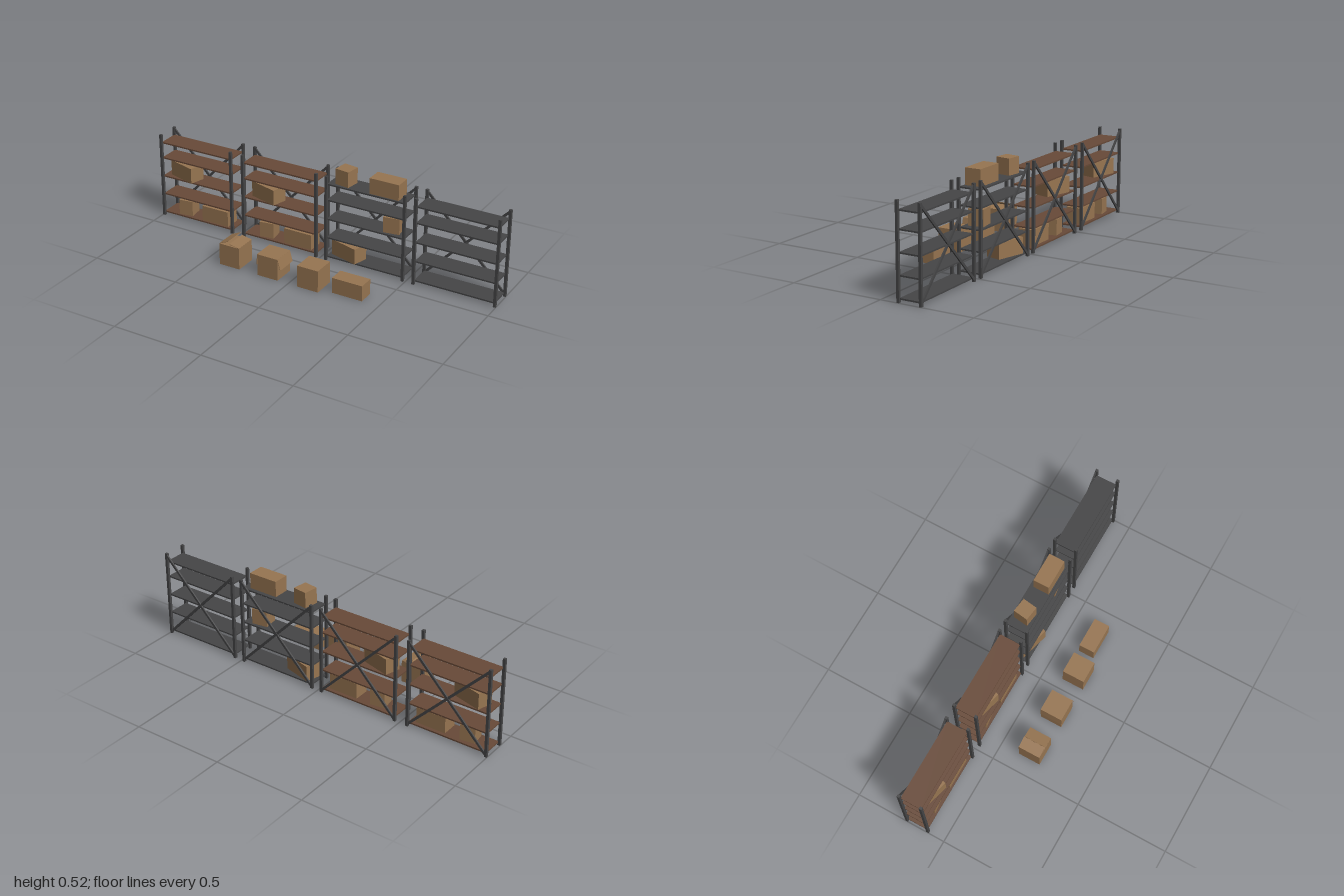
import * as THREE from 'three';

const metal = new THREE.MeshStandardMaterial({ color: 0x454546 });
metal.name = 'dark grey metal';
const wood = new THREE.MeshStandardMaterial({ color: 0x684a38 });
wood.name = 'brown shelf board';
const card = new THREE.MeshStandardMaterial({ color: 0x977551 });
card.name = 'cardboard';

const WIDTH = 0.462, HEIGHT = 0.48, POST = 0.0145;
const FRONT_Z = -0.0955, BACK_Z = -0.218, MID_Z = -0.157;
const SHELVES = [0.018, 0.127, 0.234, 0.3425, 0.432];

function box(parent, name, mat, size, pos, rotY = 0, rotZ = 0) {
  const mesh = new THREE.Mesh(new THREE.BoxGeometry(...size), mat);
  mesh.name = name;
  mesh.position.set(...pos);
  mesh.rotation.set(0, rotY, rotZ);
  parent.add(mesh);
  return mesh;
}

// Four posts, five shelves and a crossed brace at the back
function makeRack(x, shelfMaterial) {
  const rack = new THREE.Group();
  rack.name = 'rack';
  rack.position.x = x;
  const px = (WIDTH - POST) / 2;
  for (const s of [-1, 1]) {
    for (const z of [FRONT_Z, BACK_Z]) {
      box(rack, 'post', metal, [POST, HEIGHT, POST], [s * px, HEIGHT / 2, z]);
    }
    const run = px * 2, rise = HEIGHT - 0.018;
    box(rack, 'crossBrace', metal, [Math.hypot(run, rise), 0.013, 0.008],
      [0, HEIGHT / 2, BACK_Z - 0.001 * s - 0.0015], 0, s * Math.atan2(rise, run));
  }
  for (const y of SHELVES) {
    box(rack, 'shelf', shelfMaterial, [WIDTH - 0.02, 0.008, 0.115], [0, y, MID_Z]);
  }
  return rack;
}

// Cardboard boxes standing on a surface at height y
const carton = (parent, size, x, y, z, rotY = 0) =>
  box(parent, 'cardboardBox', card, size, [x, y + size[1] / 2, z], rotY);
const SMALL = [0.08, 0.086, 0.08];
const LONG = [0.165, 0.086, 0.087];

// Thin flap hinged at a top edge; dir is the way it extends in x
function flap(parent, x, y, z, dir, angle) {
  const hinge = new THREE.Group();
  hinge.name = 'boxFlap';
  hinge.position.set(x, y, z);
  hinge.rotation.z = dir * angle;
  box(hinge, 'flapPanel', card, [0.06, 0.002, 0.12], [dir * 0.03, 0, 0]);
  parent.add(hinge);
}

export function createModel() {
  const model = new THREE.Group();
  model.name = 'storageRacks';

  const centres = [-0.769, -0.247, 0.26, 0.769];
  centres.forEach((x, i) => model.add(makeRack(x, i < 2 ? wood : metal)));

  const low = SHELVES[0] + 0.004, mid = SHELVES[2] + 0.004, top = SHELVES[4] + 0.004;

  // Boxes on the two wooden racks
  for (const x of centres.slice(0, 2)) {
    carton(model, SMALL, x - 0.096, low, MID_Z + 0.005, 0.14);
    carton(model, LONG, x + 0.104, low, MID_Z + 0.005);
    carton(model, LONG, x - 0.097, mid, -0.15, -0.27);
  }

  // Boxes on the third rack
  carton(model, LONG, 0.143, low, -0.15, -0.27);
  carton(model, [0.087, 0.086, 0.08], 0.395, mid, -0.157, 0.14);
  carton(model, SMALL, 0.122, top, -0.153, -0.14);
  carton(model, LONG, 0.361, top, -0.15);

  // Boxes on the floor
  const CUBE = [0.12, 0.12, 0.121], Z = 0.165;
  carton(model, CUBE, -0.352, 0, Z);
  carton(model, CUBE, -0.121, 0, Z);
  carton(model, CUBE, 0.115, 0, Z);
  carton(model, [0.17, 0.085, 0.086], 0.321, 0, 0.147);

  // First floor box: flaps half raised; second: flaps hanging outwards
  flap(model, -0.412, 0.12, Z, 1, 0.42);
  flap(model, -0.292, 0.12, Z, -1, 0.17);
  flap(model, -0.182, 0.12, Z, -1, -1.52);
  flap(model, -0.061, 0.12, Z, 1, -1.3);

  return model;
}
